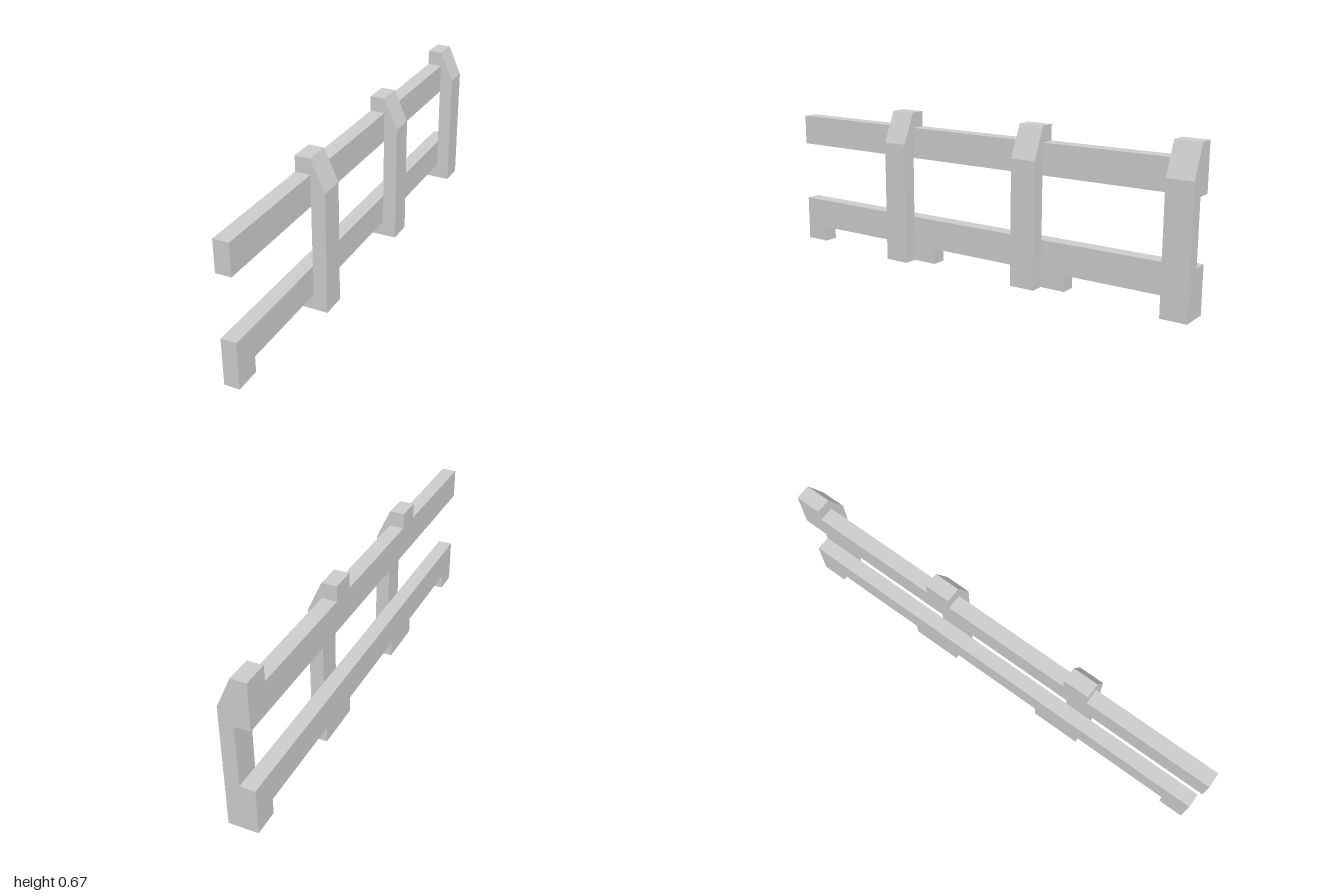
import * as THREE from 'three';

const OUT = 0.0625;      // half of the overall thickness
const FACE = 0.002;      // plane where rails meet posts
const POST = 1 / 9;      // post width along z
const material = new THREE.MeshStandardMaterial({ color: 0xcccccc, flatShading: true });

const extrude = (points, depth) => new THREE.ExtrudeGeometry(
  new THREE.Shape(points.map(([x, y]) => new THREE.Vector2(x, y))),
  { depth, bevelEnabled: false });

function addMesh(group, name, geometry) {
  const mesh = new THREE.Mesh(geometry, material);
  mesh.name = name;
  group.add(mesh);
}

// Rail outline is drawn in (z, y) and given its thickness along x
const rail = (points) => extrude(points, OUT + FACE).rotateY(-Math.PI / 2).translate(FACE, 0, 0);

export function createModel() {
  const group = new THREE.Group();
  group.name = 'guardRail';

  // Plain upper rail
  addMesh(group, 'upperRail', rail([[-1, 0.467], [1, 0.467], [1, 0.6], [-1, 0.6]]));

  // Lower rail with feet: [start, end] along z
  const feet = [[-1, -0.889], [-0.444, -0.222], [0.222, 0.444], [0.889, 1]];
  const lower = [[1, 0.2], [-1, 0.2]];
  feet.forEach(([a, b], i) => {
    if (i > 0) lower.push([a, 0.069]);
    lower.push([a, 0], [b, 0]);
    if (i < feet.length - 1) lower.push([b, 0.069]);
  });
  addMesh(group, 'lowerRail', rail(lower));

  // Posts with a sloped top and a cap reaching over the upper rail
  const profile = [[FACE, 0], [OUT, 0], [OUT, 0.533], [FACE, 0.667],
    [-OUT, 0.667], [-OUT, 0.6], [FACE, 0.6]];
  for (const z of [-1, -1 / 3, 1 / 3]) {
    addMesh(group, 'post', extrude(profile, POST).translate(0, 0, z));
  }
  return group;
}
